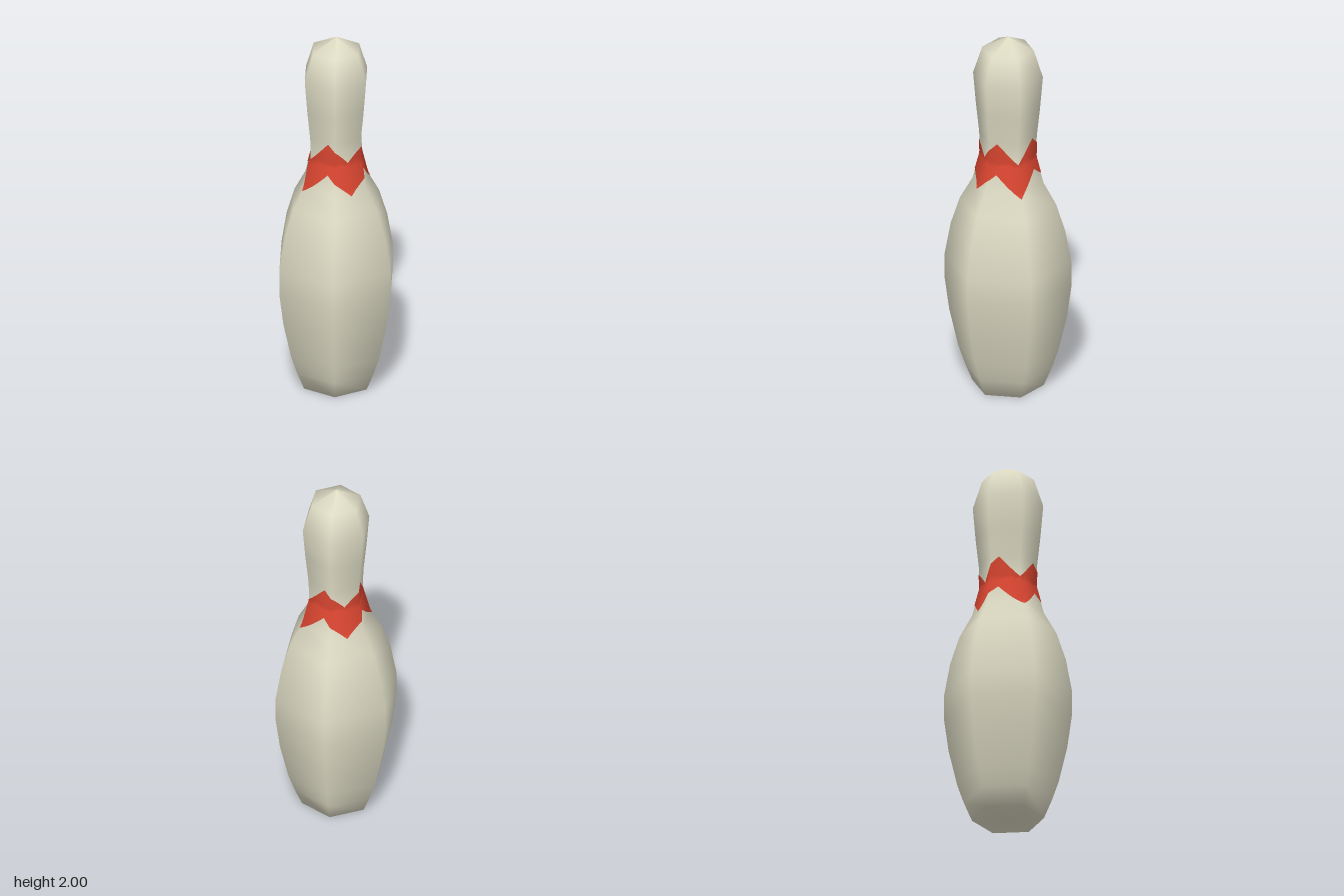
import * as THREE from 'three';

// Radius at the hexagon corners against height, from the base up
const PROFILE = [
  [0, 0], [0.187, 0], [0.228, 0.1], [0.262, 0.2], [0.308, 0.4], [0.332, 0.58], [0.332, 0.72],
  [0.3, 0.9], [0.252, 1.05], [0.186, 1.17], [0.147, 1.32], [0.151, 1.44],
  [0.168, 1.6], [0.183, 1.78], [0.135, 1.93], [0, 2],
];

// Corner radius and slope of the profile at height y
function profileAt(y) {
  const i = PROFILE.findIndex((p, k) => k > 1 && p[1] >= y);
  const [r0, y0] = PROFILE[i - 1], [r1, y1] = PROFILE[i];
  const slope = (r1 - r0) / (y1 - y0);
  return { r: r0 + slope * (y - y0), slope };
}

// Hexagon outline factor, with corners on the x axis
function hexFactor(theta) {
  const step = Math.PI / 3;
  const a = ((theta % step) + step) % step;
  const fromMiddle = a > step / 2 ? a - step : a;
  return Math.cos(Math.PI / 6) / Math.cos(fromMiddle);
}

// Thin painted skin with four points up and four points down
function zigzagBand() {
  const cols = 72, rows = 12, positions = [], normals = [], index = [];
  for (let c = 0; c <= cols; c++) {
    const theta = (c / cols) * Math.PI * 2;
    const quarter = (c % 18) / 9;
    const rise = 0.115 * (1 - Math.abs(1 - quarter));
    for (let r = 0; r <= rows; r++) {
      const y = 1.15 + rise + (r / rows) * 0.175;
      const p = profileAt(y);
      const radius = (p.r + 0.003) * hexFactor(theta);
      positions.push(Math.sin(theta) * radius, y, Math.cos(theta) * radius);
      const n = new THREE.Vector3(Math.sin(theta), -p.slope, Math.cos(theta)).normalize();
      normals.push(n.x, n.y, n.z);
      if (c < cols && r < rows) {
        const a = c * (rows + 1) + r, b = a + rows + 1;
        index.push(a, b, b + 1, a, b + 1, a + 1);
      }
    }
  }
  const geometry = new THREE.BufferGeometry();
  geometry.setAttribute('position', new THREE.Float32BufferAttribute(positions, 3));
  geometry.setAttribute('normal', new THREE.Float32BufferAttribute(normals, 3));
  geometry.setIndex(index);
  return geometry;
}

export function createModel() {
  const ivory = new THREE.MeshStandardMaterial({ color: 0xdedbc4 });
  ivory.name = 'ivory';
  const red = new THREE.MeshStandardMaterial({ color: 0xd84530 });
  red.name = 'red';

  const group = new THREE.Group();
  group.name = 'bowlingPin';

  // Six-sided, smooth-shaded pin body
  const points = PROFILE.map(([r, y]) => new THREE.Vector2(r, y));
  const body = new THREE.Mesh(new THREE.LatheGeometry(points, 6, Math.PI / 2), ivory);
  body.name = 'pinBody';

  // Red zigzag around the neck
  const band = new THREE.Mesh(zigzagBand(), red);
  band.name = 'neckBand';

  group.add(body, band);
  return group;
}
